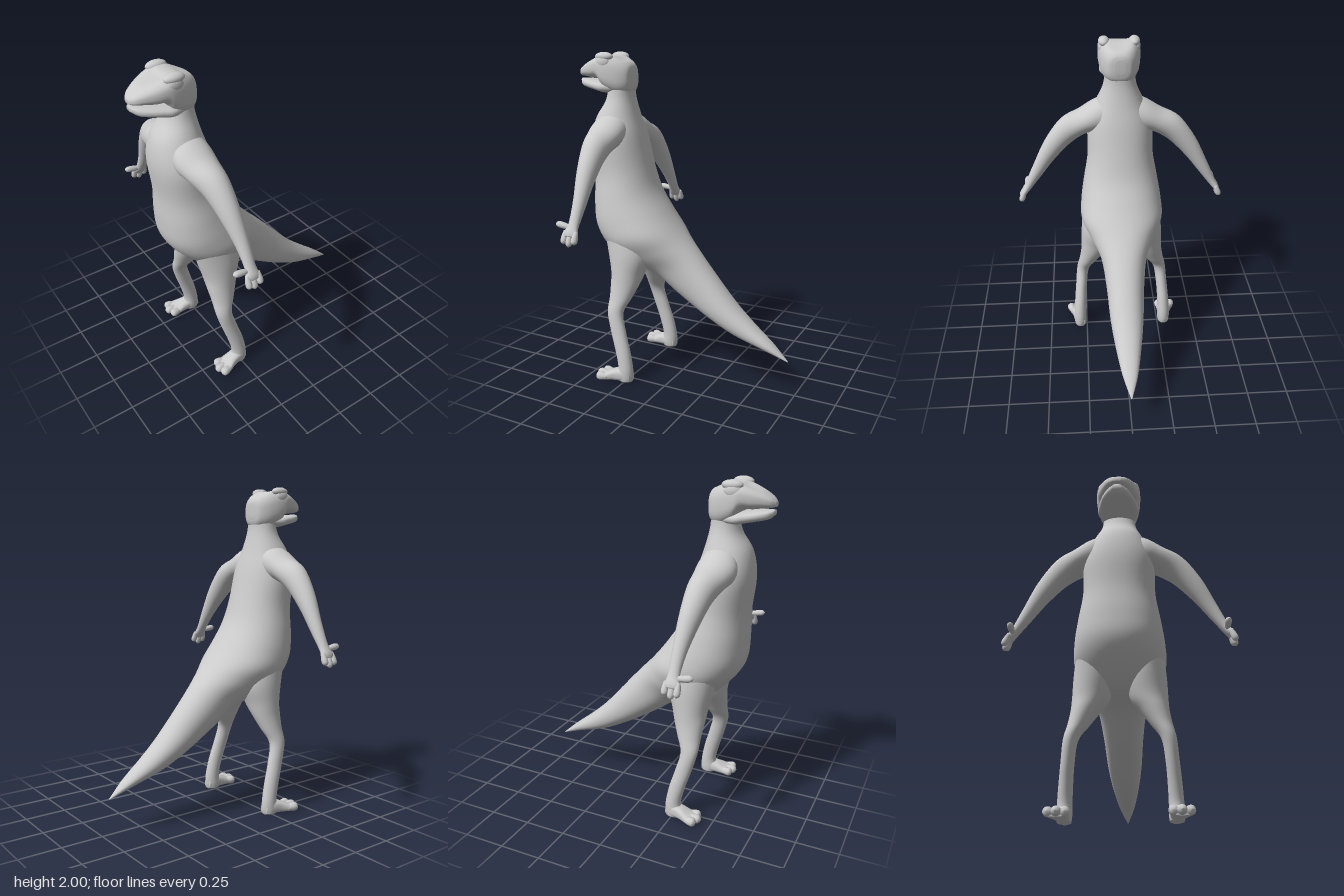
import * as THREE from 'three';

const material = new THREE.MeshStandardMaterial({ color: 0xcccccc, roughness: 0.8 });
const V = (a) => new THREE.Vector3(...a);

// Smooth skin through cross-sections {c: centre, u, v: half axes}; pow > 2 squares the sections.
function loft(name, sections, { segs = 32, sub = 5, pow = 2, deform } = {}) {
  const curves = ['c', 'u', 'v'].map((k) =>
    new THREE.CatmullRomCurve3(sections.map((s) => s[k]), false, 'catmullrom', 0.5));
  const rings = (sections.length - 1) * sub;
  const pos = [], idx = [];
  const bend = (t) => Math.sign(t) * Math.abs(t) ** (2 / pow);
  for (let i = 0; i <= rings; i++) {
    const [c, u, v] = curves.map((k) => k.getPoint(i / rings));
    for (let j = 0; j < segs; j++) {
      const a = (j / segs) * Math.PI * 2;
      const p = c.clone().addScaledVector(u, bend(Math.cos(a))).addScaledVector(v, bend(Math.sin(a)));
      if (deform) deform(p);
      pos.push(p.x, p.y, p.z);
      const k = (j + 1) % segs, r = i * segs;
      if (i < rings) idx.push(r + j, r + k, r + segs + j, r + k, r + segs + k, r + segs + j);
    }
  }
  // close both ends with a fan
  const n = pos.length / 3, last = rings * segs;
  pos.push(...sections[0].c.toArray(), ...sections.at(-1).c.toArray());
  for (let j = 0; j < segs; j++) {
    const k = (j + 1) % segs;
    idx.push(n, k, j, n + 1, last + j, last + k);
  }
  // turn the faces outward, whichever way the sections run
  let volume = 0;
  const at = (i) => new THREE.Vector3().fromArray(pos, i * 3);
  for (let i = 0; i < idx.length; i += 3) volume += at(idx[i]).dot(at(idx[i + 1]).cross(at(idx[i + 2])));
  if (volume < 0) idx.reverse();
  const g = new THREE.BufferGeometry();
  g.setAttribute('position', new THREE.Float32BufferAttribute(pos, 3));
  g.setIndex(idx);
  g.computeVertexNormals();
  const mesh = new THREE.Mesh(g, material);
  mesh.name = name;
  return mesh;
}

// Rounded digit from a to b
function digit(name, a, b, r, tip = r) {
  const A = V(a), B = V(b), d = B.clone().sub(A).normalize();
  const side = new THREE.Vector3(0, 0, 1);
  if (Math.abs(d.z) > 0.8) side.set(1, 0, 0);
  const u = side.cross(d).normalize(), v = d.clone().cross(u);
  const ring = (t, k) => ({ c: A.clone().lerp(B, t), u: u.clone().multiplyScalar(k), v: v.clone().multiplyScalar(k) });
  return loft(name, [ring(0, r * 0.7), ring(0.3, r), ring(0.65, tip), ring(0.88, tip * 0.8), ring(1, tip * 0.1)], { segs: 14, sub: 3 });
}

function ball(name, center, scale) {
  const m = new THREE.Mesh(new THREE.SphereGeometry(1, 24, 16), material);
  m.name = name;
  m.position.set(...center);
  m.scale.set(...scale);
  return m;
}

export function createModel() {
  const model = new THREE.Group();
  model.name = 'standingLizard';

  // Body and tail: back y, back z, front y, front z, half width
  const body = [
    [1.82, 0.345, 1.82, 0.49, 0.09], [1.73, 0.34, 1.71, 0.515, 0.104],
    [1.62, 0.315, 1.6, 0.58, 0.15], [1.5, 0.28, 1.45, 0.602, 0.202],
    [1.31, 0.232, 1.25, 0.582, 0.208], [1.17, 0.185, 1.08, 0.582, 0.235],
    [1.05, 0.11, 0.94, 0.565, 0.257], [0.95, 0.035, 0.82, 0.485, 0.26],
    [0.87, -0.035, 0.71, 0.36, 0.205], [0.78, -0.12, 0.65, 0.18, 0.145],
    [0.65, -0.235, 0.53, 0, 0.118], [0.51, -0.36, 0.42, -0.18, 0.103],
    [0.41, -0.47, 0.33, -0.355, 0.081], [0.305, -0.6, 0.262, -0.56, 0.047],
    [0.215, -0.7, 0.208, -0.7, 0.004],
  ].map(([by, bz, fy, fz, w]) => ({
    c: V([0, (by + fy) / 2, (bz + fz) / 2]), u: V([w, 0, 0]), v: V([0, (by - fy) / 2, (bz - fz) / 2]),
  }));
  model.add(loft('bodyAndTail', body, { segs: 40, pow: 2.15 }));

  // Head pieces: z, top y, bottom y, half width
  const headRing = ([z, t, b, w]) => ({ c: V([0, (t + b) / 2, z]), u: V([w, 0, 0]), v: V([0, (t - b) / 2, 0]) });
  const dip = (p) => { // shallow hollow between the brows
    if (p.y > 1.94) p.y -= 0.02 * Math.max(0, 1 - (p.x / 0.08) ** 2) * Math.min(1, (p.y - 1.94) / 0.04);
  };
  const head = new THREE.Group();
  head.name = 'head';
  head.add(loft('skull', [
    [0.333, 1.9, 1.82, 0.03], [0.345, 1.93, 1.77, 0.07], [0.385, 1.965, 1.745, 0.102],
    [0.44, 1.993, 1.75, 0.122], [0.495, 1.996, 1.78, 0.13], [0.535, 1.982, 1.836, 0.127],
    [0.59, 1.96, 1.842, 0.11], [0.645, 1.933, 1.85, 0.083], [0.685, 1.908, 1.854, 0.055],
    [0.707, 1.885, 1.86, 0.022],
  ].map(headRing), { segs: 40, pow: 2.7, deform: dip }));
  head.add(loft('lowerJaw', [
    [0.42, 1.815, 1.76, 0.09], [0.5, 1.826, 1.757, 0.122], [0.56, 1.832, 1.768, 0.112],
    [0.62, 1.838, 1.78, 0.092], [0.67, 1.842, 1.792, 0.062], [0.7, 1.842, 1.815, 0.025],
  ].map(headRing), { pow: 2.6 }));
  model.add(head);

  for (const s of [1, -1]) {
    const side = s > 0 ? 'left' : 'right';
    const limb = (part) => {
      const g = new THREE.Group();
      g.name = side + part;
      model.add(g);
      return g;
    };

    // Eye and the brow above it
    head.add(ball(side + 'Eye', [s * 0.104, 1.94, 0.49], [0.025, 0.04, 0.05]));
    head.add(ball(side + 'Brow', [s * 0.092, 1.972, 0.485], [0.034, 0.028, 0.06]));

    // Arm: upper x, y, lower x, y, back z, front z
    const arm = limb('Arm');
    arm.add(loft('armSkin', [
      [0.04, 1.66, 0.04, 1.42, 0.33, 0.52], [0.15, 1.625, 0.15, 1.42, 0.322, 0.55],
      [0.255, 1.565, 0.22, 1.41, 0.328, 0.53], [0.37, 1.51, 0.315, 1.35, 0.335, 0.49],
      [0.475, 1.375, 0.42, 1.245, 0.34, 0.455], [0.555, 1.215, 0.505, 1.14, 0.345, 0.425],
      [0.615, 1.085, 0.575, 1.05, 0.35, 0.415], [0.642, 1.035, 0.608, 1.01, 0.342, 0.43],
      [0.648, 1.01, 0.622, 0.993, 0.345, 0.425],
    ].map(([ax, ay, bx, by, z0, z1]) => ({
      c: V([s * (ax + bx) / 2, (ay + by) / 2, (z0 + z1) / 2]),
      u: V([s * (ax - bx) / 2, (ay - by) / 2, 0]), v: V([0, 0, (z1 - z0) / 2]),
    }))));
    for (const [z, y] of [[0.35, 0.965], [0.386, 0.948], [0.42, 0.962]])
      arm.add(digit('finger', [s * 0.622, 1.035, z], [s * 0.651, y, z], 0.016, 0.019));
    arm.add(digit('thumb', [s * 0.605, 1.05, 0.4], [s * 0.607, 1.065, 0.495], 0.017, 0.019));

    // Leg: y, inner x, outer x, back z, front z
    const leg = limb('Leg');
    leg.add(loft('legSkin', [
      [0.95, 0.08, 0.245, 0.2, 0.46], [0.8, 0.03, 0.262, 0.16, 0.435], [0.68, 0.055, 0.267, 0.19, 0.408],
      [0.6, 0.11, 0.272, 0.215, 0.4], [0.52, 0.165, 0.285, 0.248, 0.392], [0.43, 0.222, 0.305, 0.285, 0.388],
      [0.31, 0.242, 0.317, 0.258, 0.357], [0.2, 0.25, 0.328, 0.226, 0.323],
      [0.1, 0.253, 0.335, 0.206, 0.3], [0.04, 0.252, 0.337, 0.202, 0.31], [0.005, 0.256, 0.333, 0.207, 0.3],
    ].map(([y, x0, x1, z0, z1]) => ({
      c: V([s * (x0 + x1) / 2, y, (z0 + z1) / 2]), u: V([s * (x1 - x0) / 2, 0, 0]), v: V([0, 0, (z1 - z0) / 2]),
    }))));

    // Foot: z, centre x, half width, top y
    leg.add(loft('foot', [
      [0.21, 0.293, 0.028, 0.06], [0.25, 0.296, 0.041, 0.085], [0.31, 0.304, 0.046, 0.075],
      [0.36, 0.314, 0.058, 0.055], [0.395, 0.319, 0.062, 0.045], [0.41, 0.32, 0.05, 0.035],
    ].map(([z, x, w, t]) => ({
      c: V([s * x, t / 2 + 0.002, z]), u: V([w, 0, 0]), v: V([0, t / 2, 0]),
    })), { pow: 2.6 }));
    for (const [x, z] of [[0.272, 0.425], [0.318, 0.442], [0.364, 0.425]])
      leg.add(digit('toe', [s * (x * 0.8 + 0.06), 0.03, 0.35], [s * x, 0.03, z], 0.023, 0.027));
  }
  return model;
}
